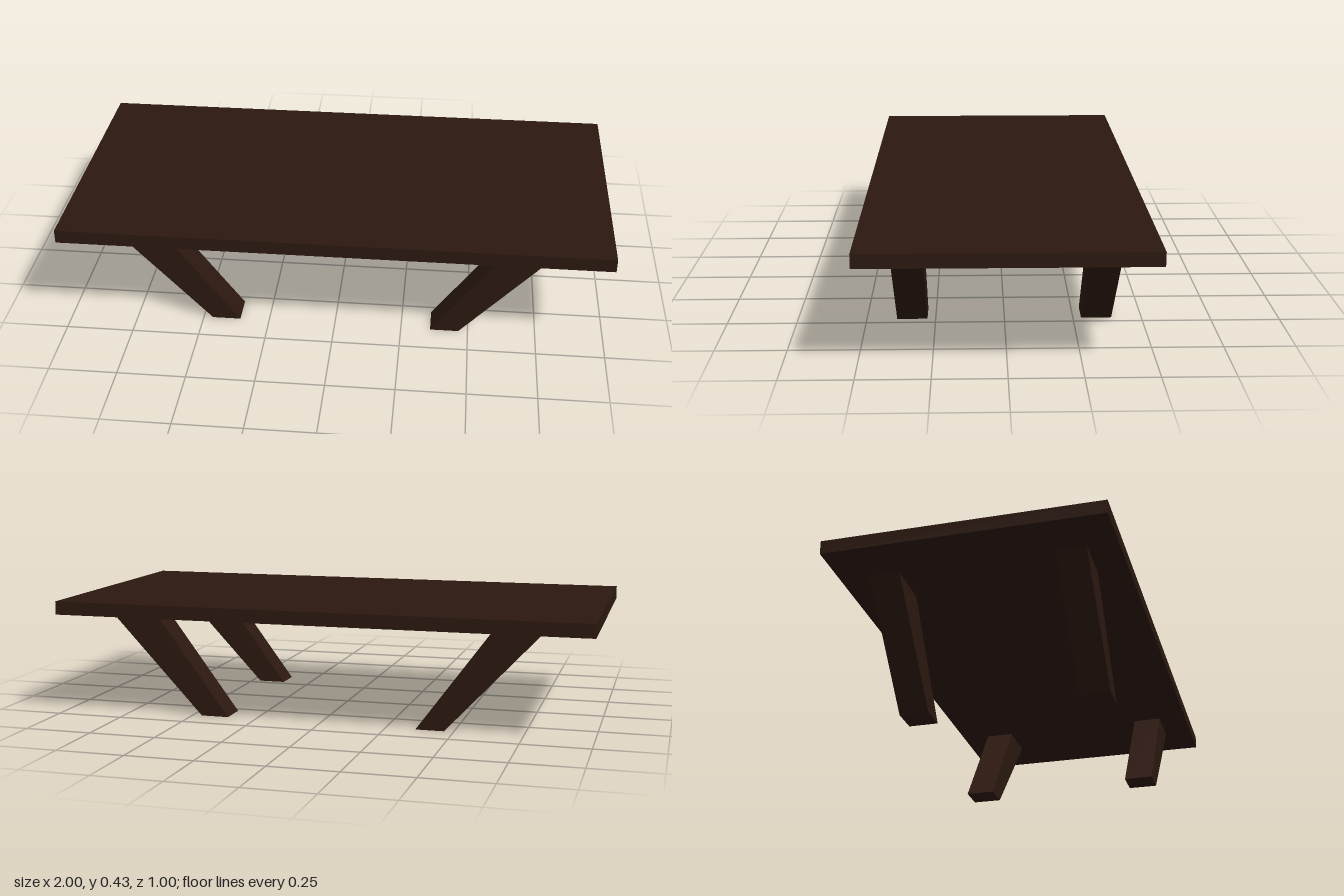
import * as THREE from 'three';

const wood = new THREE.MeshStandardMaterial({ color: 0x2c1810 });
const TOP_Y = 0.43, UNDERSIDE_Y = 0.38;

// Tapered, inward-raking leg: side outline extruded along z
function makeLeg(sideX, sideZ) {
  const outline = [[0.36, 0], [0.465, 0], [0.82, UNDERSIDE_Y], [0.64, UNDERSIDE_Y]];
  const shape = new THREE.Shape(outline.map(([x, y]) => new THREE.Vector2(sideX * x, y)));
  const depth = 0.11;
  const geometry = new THREE.ExtrudeGeometry(shape, { depth, bevelEnabled: false });
  geometry.translate(0, 0, sideZ * 0.335 - depth / 2);
  const leg = new THREE.Mesh(geometry, wood);
  leg.name = (sideZ > 0 ? 'front' : 'back') + (sideX > 0 ? 'Left' : 'Right') + 'Leg';
  return leg;
}

export function createModel() {
  const table = new THREE.Group();
  table.name = 'table';

  // Flat slab top
  const top = new THREE.Mesh(new THREE.BoxGeometry(2, TOP_Y - UNDERSIDE_Y, 1), wood);
  top.position.y = (TOP_Y + UNDERSIDE_Y) / 2;
  top.name = 'tabletop';
  table.add(top);

  // Four mirrored legs
  for (const sideX of [-1, 1])
    for (const sideZ of [-1, 1]) table.add(makeLeg(sideX, sideZ));

  return table;
}
